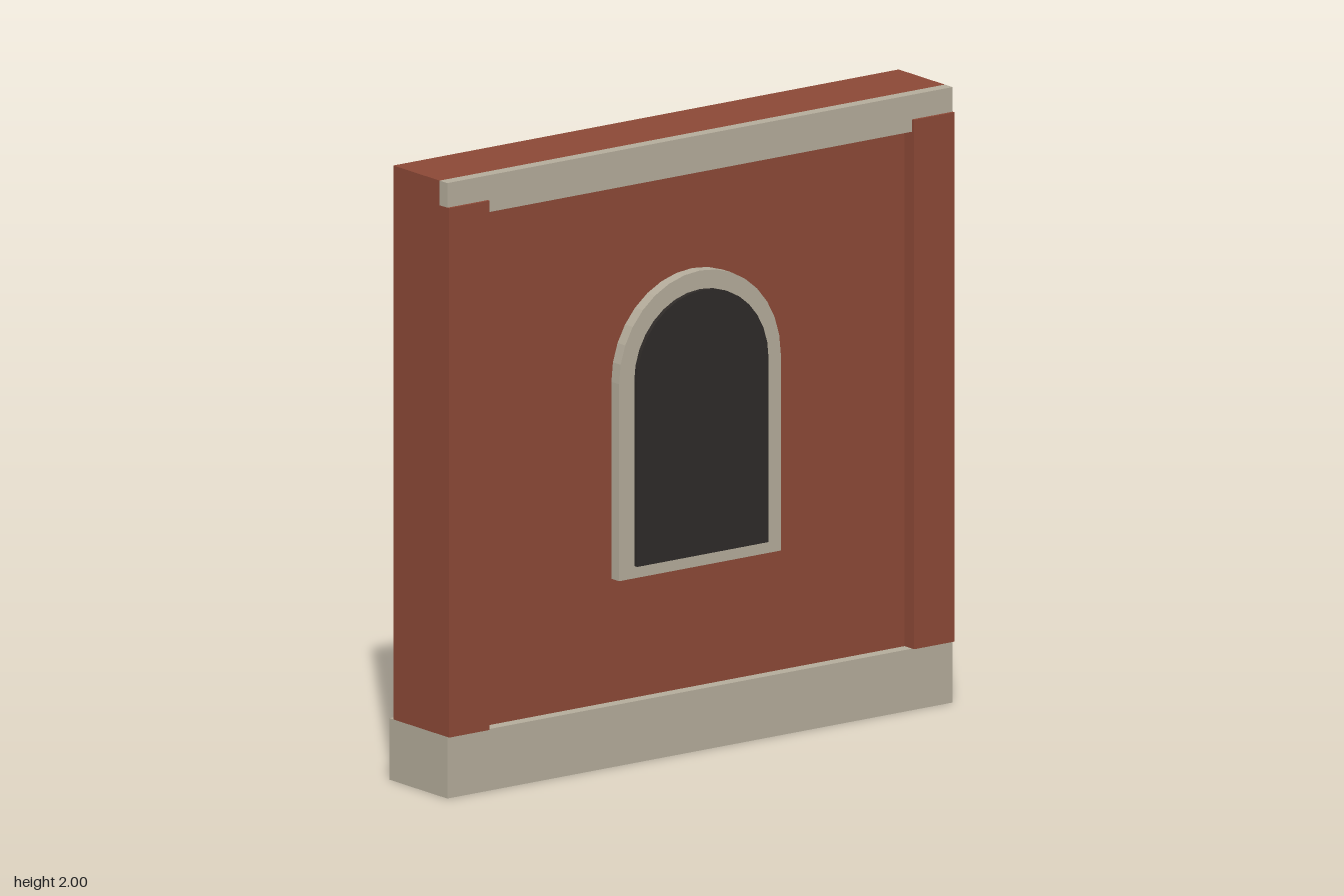
import * as THREE from 'three';

const brick = new THREE.MeshStandardMaterial({ color: 0x8b4836, flatShading: true });
const stone = new THREE.MeshStandardMaterial({ color: 0xb3ab9a, flatShading: true });
const dark = new THREE.MeshStandardMaterial({ color: 0x2e2a28, flatShading: true });

const FACE = 0.10; // x of the wall's decorated face

// Box given by its lower and upper corners
function box(name, material, [x0, y0, z0], [x1, y1, z1]) {
  const geometry = new THREE.BoxGeometry(x1 - x0, y1 - y0, z1 - z0);
  geometry.translate((x0 + x1) / 2, (y0 + y1) / 2, (z0 + z1) / 2);
  const mesh = new THREE.Mesh(geometry, material);
  mesh.name = name;
  return mesh;
}

// Outline in the wall plane, extruded outward (+x) from the wall face
function relief(name, material, shape, depth) {
  const geometry = new THREE.ExtrudeGeometry(shape, { depth, bevelEnabled: false, curveSegments: 8 });
  geometry.rotateY(Math.PI / 2).translate(FACE, 0, 0);
  const mesh = new THREE.Mesh(geometry, material);
  mesh.name = name;
  return mesh;
}

// Round-headed opening: straight jambs and an eight-sided half circle
function arch(Type, radius, bottom, spring = 1.24) {
  const path = new Type();
  path.moveTo(-radius, bottom);
  path.lineTo(radius, bottom);
  path.lineTo(radius, spring);
  path.absarc(0, spring, radius, 0, Math.PI, false);
  path.closePath();
  return path;
}

export function createModel() {
  const group = new THREE.Group();
  group.name = 'wallPanel';

  // Wall on its projecting plinth
  group.add(box('wall', brick, [-0.14, 0.2, -1], [FACE, 2, 1]));
  group.add(box('plinth', stone, [-0.16, 0, -1], [0.14, 0.2, 1]));

  // Corner pilasters
  for (const side of [1, -1]) {
    const z = [0.84 * side, side].sort((a, b) => a - b);
    group.add(box(side > 0 ? 'leftPilaster' : 'rightPilaster', brick, [FACE, 0.2, z[0]], [0.15, 1.92, z[1]]));
  }

  // Cornice, notched to sit over the pilasters
  const cornice = new THREE.Shape([
    [-1, 1.92], [-0.84, 1.92], [-0.84, 1.88], [0.84, 1.88],
    [0.84, 1.92], [1, 1.92], [1, 2], [-1, 2],
  ].map(([x, y]) => new THREE.Vector2(x, y)));
  group.add(relief('cornice', stone, cornice, 0.04));

  // Arched window: stone surround and raised dark pane
  const surround = arch(THREE.Shape, 0.32, 0.60);
  surround.holes.push(arch(THREE.Path, 0.26, 0.64));
  group.add(relief('windowSurround', stone, surround, 0.04));
  group.add(relief('windowPane', dark, arch(THREE.Shape, 0.26, 0.64), 0.055));

  return group;
}
